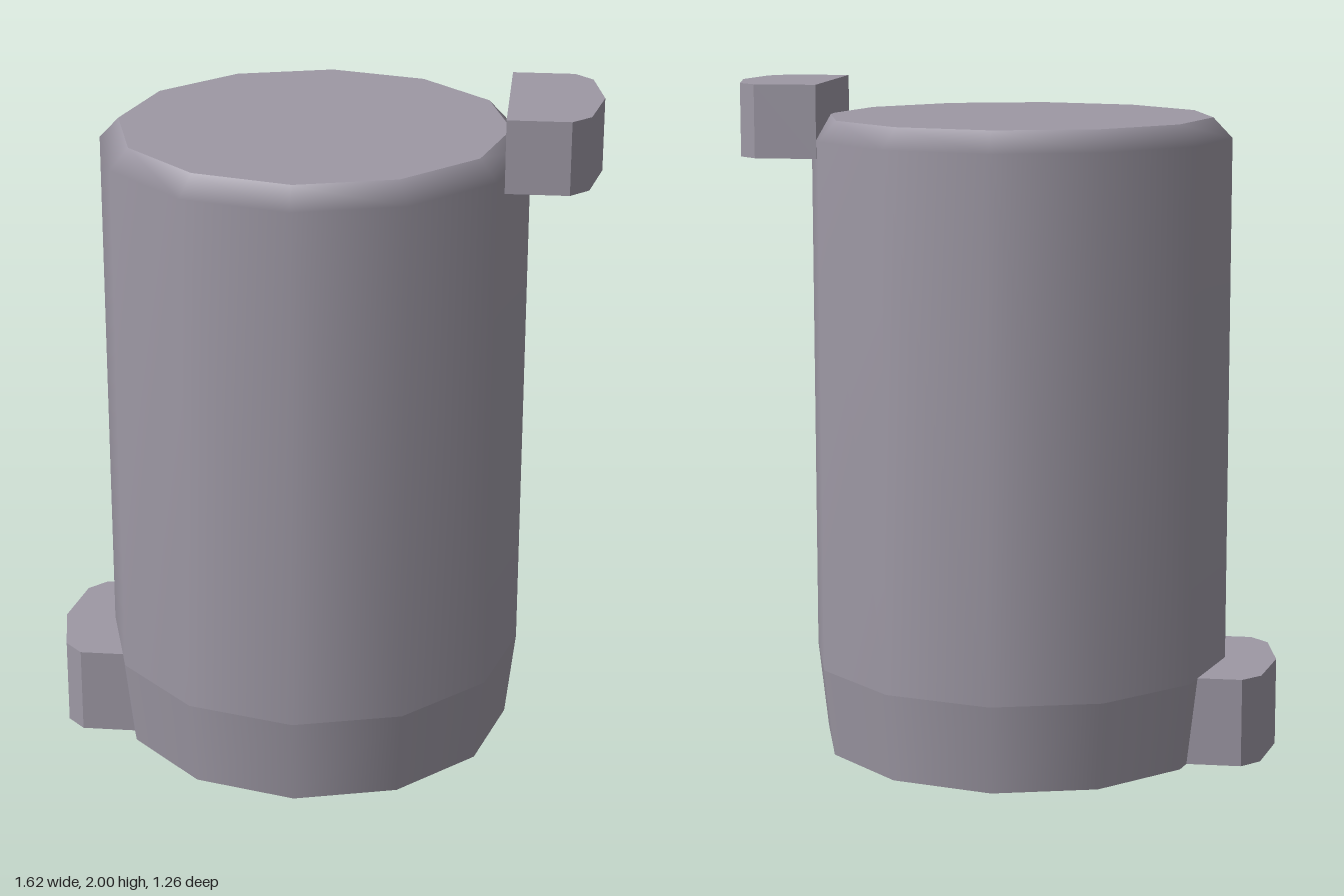
import * as THREE from 'three';

export function createModel() {
  const model = new THREE.Group();
  const grey = new THREE.MeshStandardMaterial({ color: 0x9d98a4 });
  grey.name = 'warm grey';

  const SIDES = 12;
  const BODY_X = -0.026;

  function add(name, geometry, x = 0, y = 0) {
    const mesh = new THREE.Mesh(geometry, grey);
    mesh.name = name;
    mesh.position.set(x, y, 0);
    model.add(mesh);
    return mesh;
  }

  // Tapered foot of the drum
  add('taperedBase', new THREE.CylinderGeometry(0.63, 0.6, 0.265, SIDES, 1, true), BODY_X, 0.1325);

  // Wall with a softly shaded chamfer at the top
  const profile = [[0.63, 0.265], [0.63, 1.84], [0.573, 1.9]].map(([r, y]) => new THREE.Vector2(r, y));
  add('drumWall', new THREE.LatheGeometry(profile, SIDES), BODY_X);

  // Flat ends
  add('topCap', new THREE.CircleGeometry(0.573, SIDES).rotateX(-Math.PI / 2), BODY_X, 1.9);
  add('bottomCap', new THREE.CircleGeometry(0.6, SIDES).rotateX(Math.PI / 2), BODY_X, 0);

  // Side tab with clipped corners and a shallow point, extruded upward
  function tabGeometry(innerX, height) {
    const outline = [
      [innerX, -0.245], [0.722, -0.245], [0.776, -0.19], [0.811, 0],
      [0.776, 0.19], [0.722, 0.245], [innerX, 0.245],
    ].map(([x, z]) => new THREE.Vector2(x, z));
    return new THREE.ExtrudeGeometry(new THREE.Shape(outline), { depth: height, bevelEnabled: false })
      .rotateX(-Math.PI / 2);
  }

  add('upperTab', tabGeometry(0.539, 0.215), 0, 1.785);
  add('lowerTab', tabGeometry(0.5, 0.265).rotateY(Math.PI));

  return model;
}
